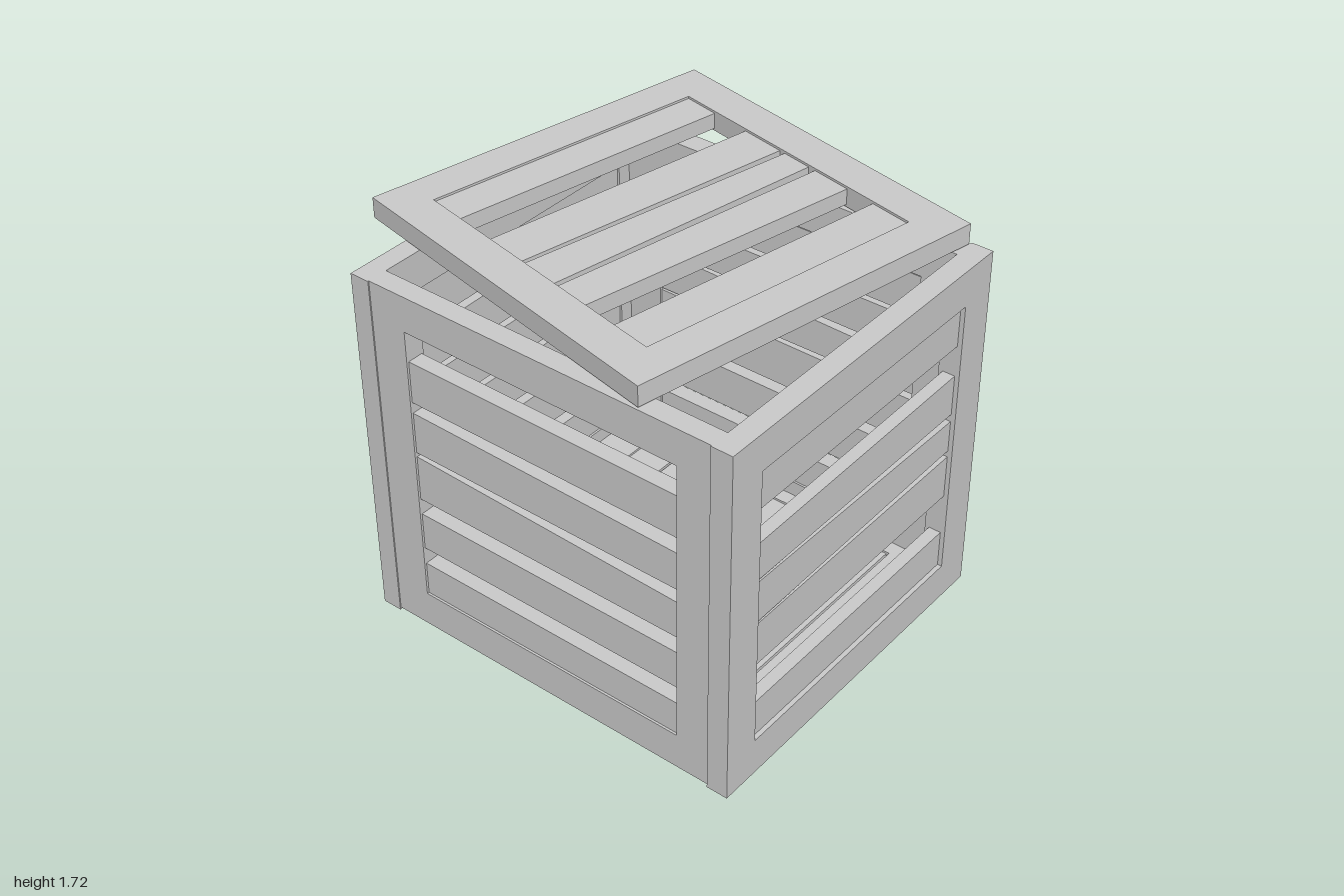
import * as THREE from 'three';

const material = new THREE.MeshStandardMaterial({ color: 0xcccccc });

// Closed outline through [x, y] corners
function outline(points) {
  return new THREE.Shape(points.map(([x, y]) => new THREE.Vector2(x, y)));
}

function rect([x0, x1, y0, y1]) {
  return outline([[x0, y0], [x1, y0], [x1, y1], [x0, y1]]);
}

function board(name, shape, depth, z = 0) {
  const geometry = new THREE.ExtrudeGeometry(shape, { depth, bevelEnabled: false });
  const mesh = new THREE.Mesh(geometry.translate(0, 0, z), material);
  mesh.name = name;
  return mesh;
}

// Framed panel in the XY plane, thickness along +z.
// Each slat is [lowStart, lowEnd, highStart, highEnd] across the opening.
function panel(name, outer, opening, slats, thickness, recess = 0.01) {
  const group = new THREE.Group();
  group.name = name;
  const frame = rect(outer);
  frame.holes.push(rect(opening));
  group.add(board(name + 'Frame', frame, thickness));
  const [a, b] = opening;
  for (const [l0, l1, h0, h1] of slats) {
    const shape = outline([[a, l0], [b, l1], [b, h1], [a, h0]]);
    group.add(board(name + 'Slat', shape, thickness - 2 * recess, recess));
  }
  return group;
}

// Slat with parallel edges
const even = (low, high) => [low, low, high, high];

export function createModel() {
  const model = new THREE.Group();
  model.name = 'crate';

  // Front and back panels cover the full width
  const wallOuter = [-0.96, 0.66, 0, 1.62];
  const wallOpening = [-0.79, 0.49, 0.17, 1.455];
  const front = panel('frontPanel', wallOuter, wallOpening, [
    even(1.265, 1.45),
    [0.94, 0.94, 1.11, 1.125],
    [0.74, 0.76, 0.93, 0.905],
    even(0.53, 0.73),
    even(0.17, 0.34),
  ], 0.095, 0.02);
  front.position.z = 0.9;

  const back = panel('backPanel', wallOuter, wallOpening, [
    even(1.27, 1.455),
    [1.05, 1.06, 1.23, 1.245],
    even(0.84, 1.025),
    even(0.63, 0.81),
    even(0.39, 0.585),
    even(0.17, 0.335),
  ], 0.09);
  back.position.z = -0.795;

  // Side panels stand on the floor between front and back (local x is -z)
  const sideOuter = [-0.9, 0.705, 0.105, 1.62];
  const sideOpening = [-0.75, 0.54, 0.175, 1.46];
  const left = panel('leftPanel', sideOuter, sideOpening, [
    [1.265, 1.26, 1.45, 1.45],
    [1.075, 1.07, 1.245, 1.235],
    [0.89, 0.875, 1.035, 1.06],
    [0.65, 0.65, 0.86, 0.865],
    even(0.405, 0.6),
    even(0.175, 0.335),
  ], 0.095);
  left.position.x = 0.555;

  const right = panel('rightPanel', sideOuter, sideOpening, [
    even(1.13, 1.32),
    [0.89, 0.89, 1.06, 1.08],
    [0.66, 0.66, 0.83, 0.87],
    even(0.41, 0.585),
    even(0.175, 0.33),
  ], 0.09);
  right.position.x = -0.955;
  left.rotation.y = right.rotation.y = Math.PI / 2;

  // Floor panel (local y is +z, thickness goes down)
  const floor = panel('floor', [-0.955, 0.65, -0.705, 0.9], [-0.79, 0.49, -0.54, 0.74], [
    even(-0.54, -0.375),
    even(-0.365, -0.18),
    even(-0.17, 0.02),
    [0.05, 0.04, 0.21, 0.22],
    even(0.27, 0.49),
    even(0.505, 0.725),
  ], 0.095);
  floor.rotation.x = Math.PI / 2;
  floor.position.y = 0.105;

  // Loose lid, turned slightly on top of the box
  const lidPanel = panel('lid', [-0.81, 0.81, -0.805, 0.805], [-0.64, 0.64, -0.64, 0.645], [
    even(-0.64, -0.475),
    [-0.285, -0.285, -0.087, -0.078],
    [-0.07, -0.05, 0.108, 0.09],
    [0.129, 0.126, 0.292, 0.309],
    [0.455, 0.451, 0.635, 0.635],
  ], 0.09);
  lidPanel.rotation.x = Math.PI / 2;
  const lid = new THREE.Group();
  lid.name = 'turnedLid';
  lid.add(lidPanel);
  lid.rotation.y = -0.2;
  lid.position.set(0.005, 1.715, -0.05);

  model.add(front, back, left, right, floor, lid);
  return model;
}
